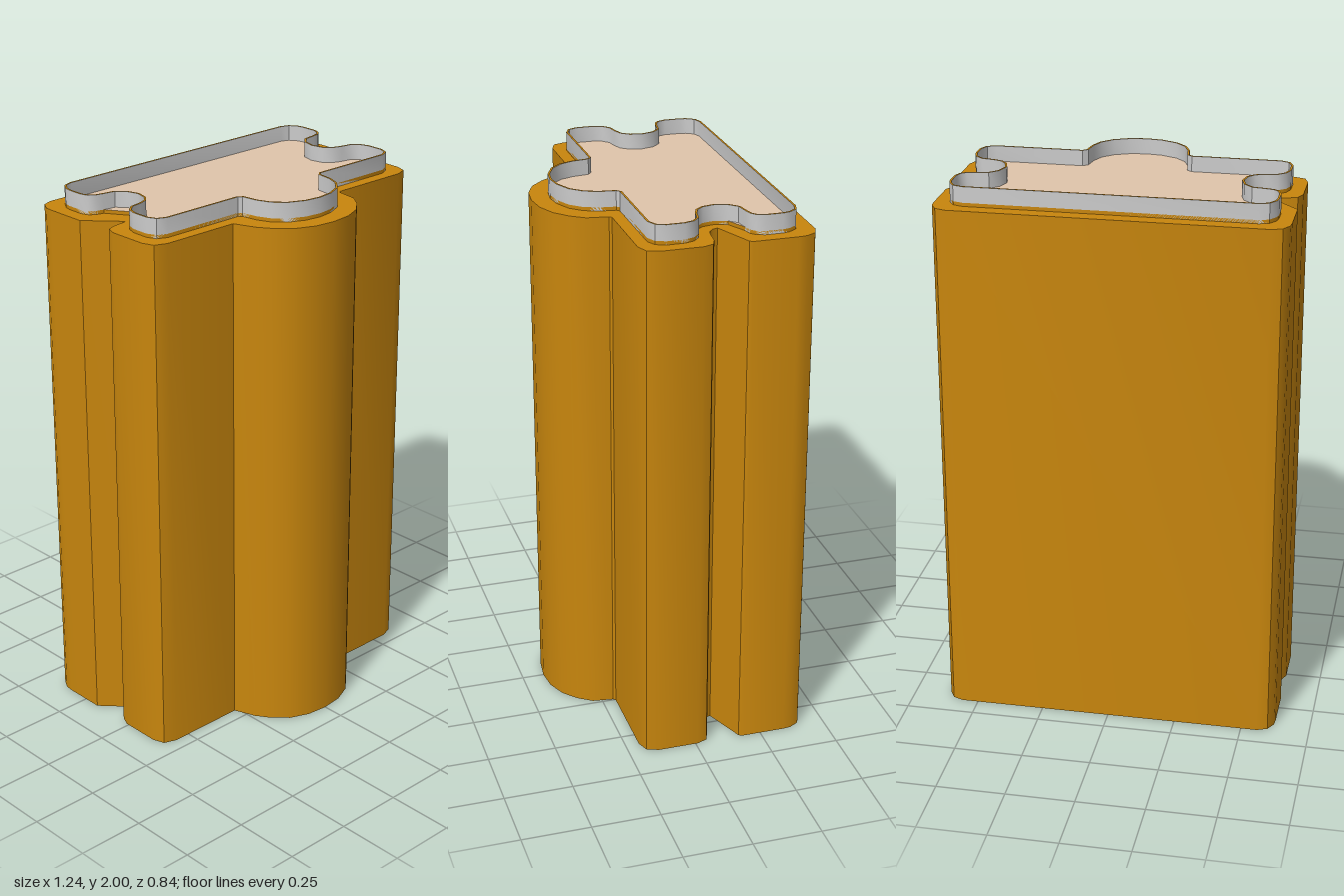
import * as THREE from 'three';
import { toCreasedNormals } from 'three/addons/utils/BufferGeometryUtils.js';

const orange = new THREE.MeshStandardMaterial({ color: 0xc8860d });
const beige = new THREE.MeshStandardMaterial({ color: 0xe0c5ab });
const grey = new THREE.MeshStandardMaterial({ color: 0xcccccc, side: THREE.DoubleSide });

const toShape = (pts) => new THREE.Shape(pts.map(([x, z]) => new THREE.Vector2(x, z)));

// Vertical prism from an (x, z) outline, standing between two heights
function prism(name, shape, bottom, top, materials) {
  const flat = new THREE.ExtrudeGeometry(shape, { depth: top - bottom, bevelEnabled: false });
  flat.rotateX(Math.PI / 2).translate(0, top, 0);
  const mesh = new THREE.Mesh(toCreasedNormals(flat, 0.6), materials);
  mesh.name = name;
  return mesh;
}

// Outline moved inwards along the averaged edge normals
function inset(pts, d) {
  const n = pts.length;
  return pts.map(([x, z], i) => {
    const a = pts[(i + n - 1) % n], b = pts[(i + 1) % n];
    const dx = b[0] - a[0], dz = b[1] - a[1], l = Math.hypot(dx, dz);
    return [x - (dz / l) * d, z + (dx / l) * d];
  });
}

export function createModel() {
  const group = new THREE.Group();
  group.name = 'profiledBlock';

  // Body outline: back edge, right notch, rounded front bulge, left notch
  const bodyOutline = [
    [-0.56, -0.42], [0.56, -0.42], [0.597, -0.405], [0.617, -0.37], [0.62, -0.34],
    [0.62, -0.18], [0.613, -0.168], [0.46, -0.108], [0.466, -0.09], [0.485, -0.073], [0.51, -0.066],
    [0.57, -0.06], [0.605, -0.046], [0.62, -0.01],
    [0.62, 0.14], [0.605, 0.183], [0.56, 0.2], [0.255, 0.2], [0.246, 0.208],
    [0.235, 0.285], [0.2, 0.335], [0.15, 0.38], [0.08, 0.41], [0, 0.419],
    [-0.08, 0.41], [-0.15, 0.38], [-0.2, 0.332], [-0.235, 0.28], [-0.265, 0.2],
    [-0.56, 0.2], [-0.605, 0.183], [-0.62, 0.14],
    [-0.62, -0.01], [-0.605, -0.046], [-0.57, -0.06], [-0.512, -0.068],
    [-0.62, -0.183], [-0.62, -0.34], [-0.617, -0.37], [-0.597, -0.405],
  ];
  group.add(prism('body', toShape(bodyOutline), 0, 1.93, orange));

  // Rim outline, right half mirrored to the left
  const half = [
    [0.51, -0.367], [0.545, -0.355], [0.565, -0.325], [0.57, -0.3],
    [0.57, -0.24], [0.56, -0.21], [0.54, -0.194], [0.51, -0.187],
    [0.465, -0.18], [0.437, -0.152], [0.424, -0.107], [0.433, -0.065], [0.455, -0.038],
    [0.49, -0.026], [0.53, -0.019], [0.558, 0.005], [0.57, 0.04],
    [0.57, 0.105], [0.555, 0.14], [0.52, 0.156],
    [0.2, 0.156], [0.188, 0.166], [0.18, 0.225], [0.16, 0.275], [0.12, 0.317], [0.06, 0.344],
  ];
  const left = half.map(([x, z]) => [-x, z]).reverse();
  const rimOutline = [...half, [0, 0.352], ...left];

  // Recessed floor, whose notches are cut off by straight chords
  const floorOutline = [
    ...half.filter((p, i) => i !== 8), [0, 0.352],
    ...left.filter(([x, z]) => !(z < -0.09 && z > -0.185)),
  ];
  group.add(prism('recessedFloor', toShape(floorOutline), 1.925, 1.943, [beige, orange]));

  // Thin upright rim with a coloured top edge
  const rim = toShape(rimOutline);
  rim.holes.push(new THREE.Path(inset(rimOutline, 0.007).map(([x, z]) => new THREE.Vector2(x, z))));
  group.add(prism('rim', rim, 1.93, 2, [orange, grey]));

  return group;
}
